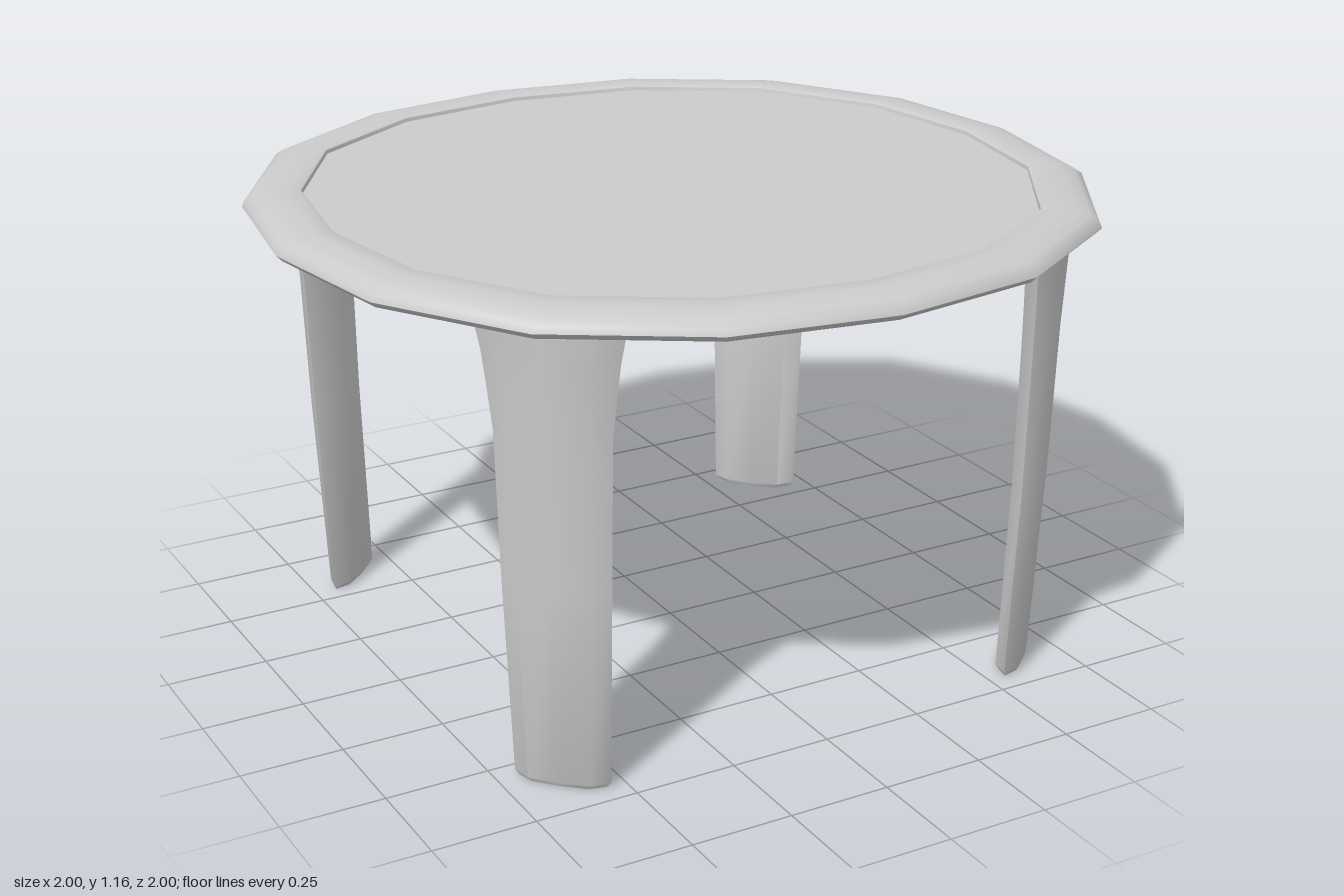
import * as THREE from 'three';
import { toCreasedNormals } from 'three/addons/utils/BufferGeometryUtils.js';

const material = new THREE.MeshStandardMaterial({ color: 0xcccccc });

// Sixteen-sided top with a rounded rim and a shallow recess
function tabletopGeometry() {
  const profile = [
    [0, 1.1], [0.96, 1.1], [0.985, 1.107], [1, 1.122], [0.994, 1.137],
    [0.975, 1.15], [0.945, 1.157], [0.91, 1.16], [0.868, 1.16],
    [0.862, 1.157], [0.86, 1.148], [0, 1.148],
  ].map(([r, y]) => new THREE.Vector2(r, y));
  const geometry = new THREE.LatheGeometry(profile, 16);

  // Swell the outline slightly towards the diagonals
  const p = geometry.attributes.position;
  for (let i = 0; i < p.count; i++) {
    const x = p.getX(i), z = p.getZ(i);
    const k = 1 + 0.03 * Math.sin(2 * Math.atan2(x, z)) ** 2;
    p.setX(i, x * k);
    p.setZ(i, z * k);
  }
  return toCreasedNormals(geometry, 0.7);
}

// Flat, tapering leg that flares under the top; wide along x, thin along z
function legGeometry() {
  // height, distance from the table's axis, half width, half thickness
  const rings = [
    [0, 0.877, 0.104, 0.026], [0.012, 0.877, 0.114, 0.033],
    [0.5, 0.897, 0.127, 0.036], [0.85, 0.905, 0.134, 0.039],
    [0.95, 0.908, 0.145, 0.041], [1.03, 0.91, 0.155, 0.043],
    [1.105, 0.913, 0.17, 0.045],
  ];
  const section = [
    [1, 0], [0.65, 0.85], [0, 1], [-0.65, 0.85],
    [-1, 0], [-0.65, -0.85], [0, -1], [0.65, -0.85],
  ];
  const n = section.length, last = (rings.length - 1) * n;
  const positions = [], index = [];
  for (const [y, r, w, t] of rings) {
    for (const [u, v] of section) positions.push(u * w, y, r + v * t);
  }
  for (let i = 0; i < rings.length - 1; i++) {
    for (let j = 0; j < n; j++) {
      const a = i * n + j, b = i * n + (j + 1) % n;
      index.push(a, a + n, b, b, a + n, b + n);
    }
  }
  // Foot and upper caps
  for (let j = 1; j < n - 1; j++) {
    index.push(0, j, j + 1, last, last + j + 1, last + j);
  }
  const geometry = new THREE.BufferGeometry();
  geometry.setAttribute('position', new THREE.Float32BufferAttribute(positions, 3));
  geometry.setIndex(index);
  return toCreasedNormals(geometry, 0.6);
}

export function createModel() {
  const table = new THREE.Group();
  table.name = 'roundTable';

  const top = new THREE.Mesh(tabletopGeometry(), material);
  top.name = 'tabletop';
  table.add(top);

  // Four legs on the diagonals
  const geometry = legGeometry();
  ['frontLeftLeg', 'backLeftLeg', 'backRightLeg', 'frontRightLeg'].forEach((name, i) => {
    const leg = new THREE.Mesh(geometry, material);
    leg.name = name;
    leg.rotation.y = Math.PI / 4 + i * Math.PI / 2;
    table.add(leg);
  });
  return table;
}
